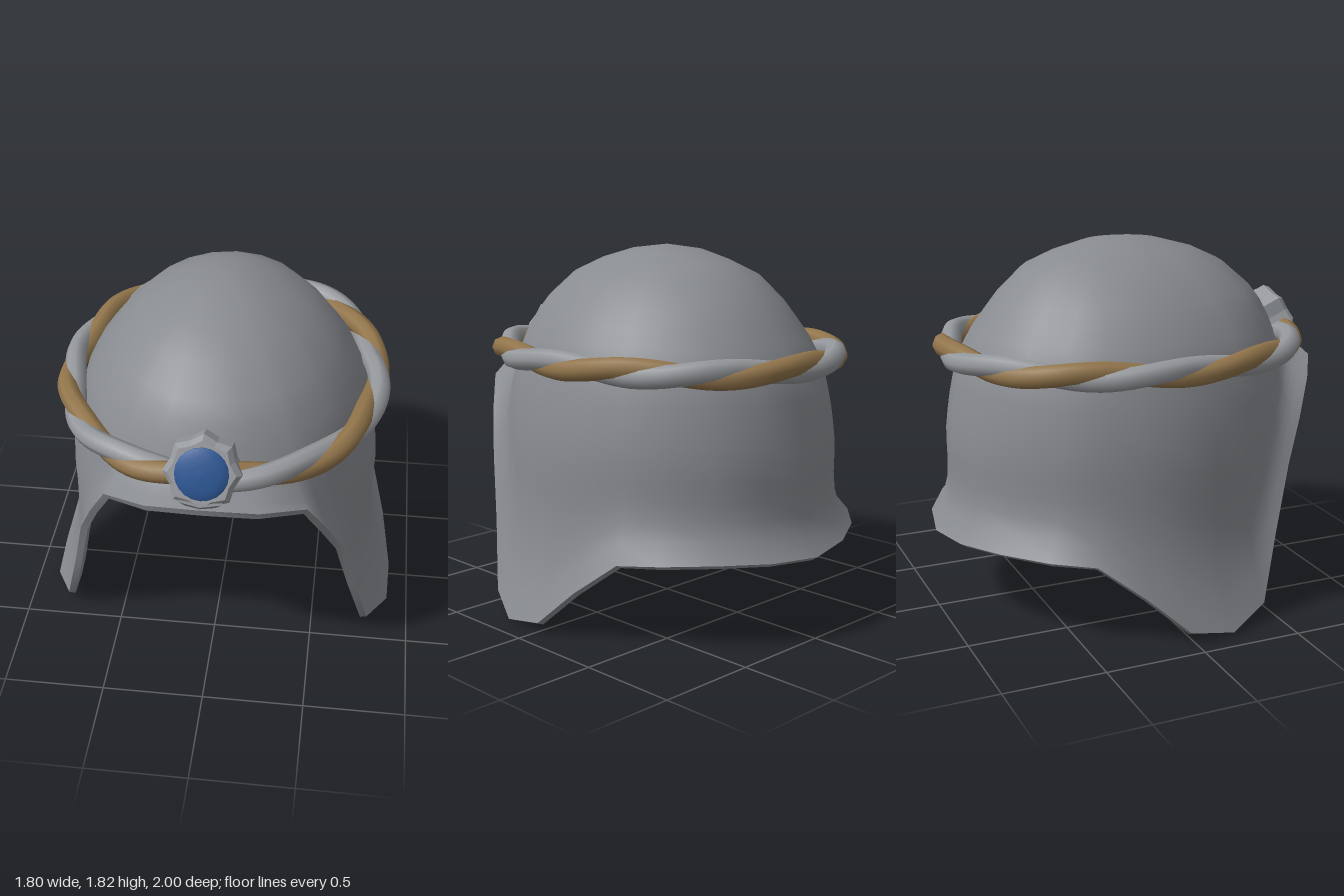
import * as THREE from 'three';

const mat = (name, color, extra = {}) => {
  const m = new THREE.MeshStandardMaterial({ color, ...extra });
  m.name = name;
  return m;
};

// Half-widths of the dome by height: [y, side x, front z, back z]
const PROFILE = [
  [1.815, 0, 0, 0], [1.79, 0.16, 0.2, 0.2], [1.74, 0.27, 0.38, 0.37], [1.67, 0.41, 0.53, 0.51],
  [1.55, 0.53, 0.67, 0.63], [1.47, 0.59, 0.73, 0.69], [1.35, 0.67, 0.79, 0.78], [1.2, 0.72, 0.84, 0.85],
  [1.0, 0.76, 0.86, 0.89], [0.83, 0.775, 0.86, 0.91], [0.5, 0.75, 0.86, 0.89], [0, 0.74, 0.86, 0.88],
];
// Lower edge from brow peak, around the cheek flap, to the neck guard
const EDGE = [
  [0, 1.2, 0.99], [0.26, 1.17, 0.95], [0.47, 1.11, 0.82], [0.56, 0.93, 0.73], [0.64, 0.73, 0.63],
  [0.71, 0.41, 0.53], [0.79, 0.08, 0.43], [0.895, 0.01, 0.21], [0.9, 0.05, -0.02], [0.85, 0.24, -0.23],
  [0.78, 0.41, -0.45], [0.69, 0.43, -0.65], [0.49, 0.43, -0.83], [0.26, 0.415, -0.95], [0, 0.4, -1],
];

function radii(y) {
  let i = 1;
  while (i < PROFILE.length - 1 && PROFILE[i][0] > y) i++;
  const a = PROFILE[i - 1], b = PROFILE[i];
  const t = (a[0] - y) / (a[0] - b[0]);
  return [1, 2, 3].map(k => a[k] + (b[k] - a[k]) * t);
}

function bodyPoint(s, c, y) {
  const [rx, rf, rb] = radii(y);
  return new THREE.Vector3(s * rx, y, c * (c > 0 ? rf : rb));
}

// Outer skin, offset inner skin and the rim joining them
function shellGeometry() {
  const edge = [...EDGE, ...EDGE.slice(1, -1).reverse().map(([x, y, z]) => [-x, y, z])];
  const upper = [1.79, 1.74, 1.67, 1.55, 1.47, 1.38, 1.3];
  const lower = 10, rows = upper.length + lower, n = edge.length;
  const pos = [0, 1.815, 0], idx = [];
  const columns = edge.map(([x, y, z]) => {
    const [rx, rf, rb] = radii(y);
    const a = Math.atan2(x / rx, z / (z > 0 ? rf : rb));
    const s = Math.sin(a), c = Math.cos(a);
    const col = upper.map(h => bodyPoint(s, c, h));
    const flare = new THREE.Vector3(x, y, z).sub(bodyPoint(s, c, y));
    const sharpness = 4 + 5 * Math.max(0, -z); // the neck guard turns out more abruptly
    for (let j = 1; j <= lower; j++) {
      const t = j / lower;
      col.push(bodyPoint(s, c, 1.3 + (y - 1.3) * t).addScaledVector(flare, t ** sharpness));
    }
    return col;
  });
  for (let j = 0; j < rows; j++) columns.forEach(col => pos.push(...col[j].toArray()));
  const at = (j, i) => 1 + j * n + (i % n);
  for (let i = 0; i < n; i++) {
    idx.push(0, at(0, i), at(0, i + 1));
    for (let j = 0; j < rows - 1; j++) {
      idx.push(at(j, i), at(j + 1, i), at(j + 1, i + 1), at(j, i), at(j + 1, i + 1), at(j, i + 1));
    }
  }
  const outer = new THREE.BufferGeometry();
  outer.setAttribute('position', new THREE.Float32BufferAttribute(pos, 3));
  outer.setIndex(idx);
  outer.computeVertexNormals();

  const nor = outer.attributes.normal.array;
  const innerPos = pos.map((v, k) => v - nor[k] * 0.035);
  const inner = new THREE.BufferGeometry();
  inner.setAttribute('position', new THREE.Float32BufferAttribute(innerPos, 3));
  inner.setIndex(idx.slice().reverse());
  inner.computeVertexNormals();

  const rimPos = [], rimIdx = [];
  for (let i = 0; i < n; i++) {
    const k = at(rows - 1, i) * 3, p = i * 2, q = ((i + 1) % n) * 2;
    rimPos.push(...pos.slice(k, k + 3), ...innerPos.slice(k, k + 3));
    rimIdx.push(p, p + 1, q + 1, p, q + 1, q);
  }
  const rim = new THREE.BufferGeometry();
  rim.setAttribute('position', new THREE.Float32BufferAttribute(rimPos, 3));
  rim.setIndex(rimIdx);
  rim.computeVertexNormals();
  return { outer, inner, rim };
}

// One thick strand of the twisted circlet, winding around a closed oval path
function strandGeometry(phase) {
  const half = [[-0.24, -0.84], [-0.42, -0.75], [-0.56, -0.61], [-0.67, -0.41], [-0.735, -0.17], [-0.755, 0],
    [-0.735, 0.2], [-0.66, 0.44], [-0.52, 0.65], [-0.33, 0.79], [-0.16, 0.84]];
  const oval = [[0, -0.885], ...half, [0, 0.85], ...half.slice().reverse().map(([x, z]) => [-x, z])];
  const path = new THREE.CatmullRomCurve3(oval.map(([x, z]) => new THREE.Vector3(x, 1.29, z)), true);
  const up = new THREE.Vector3(0, 1, 0), pts = [];
  const steps = 72, turns = 6, offset = 0.019;
  for (let i = 0; i < steps; i++) {
    const u = i / steps, w = u * turns * Math.PI * 2 + phase;
    const inward = up.clone().cross(path.getTangentAt(u)).normalize();
    pts.push(path.getPointAt(u).addScaledVector(up, Math.cos(w) * offset).addScaledVector(inward, Math.sin(w) * offset));
  }
  return new THREE.TubeGeometry(new THREE.CatmullRomCurve3(pts, true), 120, 0.053, 8, true);
}

export function createModel() {
  const steel = mat('steel', 0x888b90, { side: THREE.DoubleSide });
  const silver = mat('silver', 0x95989c);
  const gold = mat('gold', 0x92754b);
  const blue = mat('blue gem', 0x2b5592);
  const model = new THREE.Group();
  model.name = 'helmet';
  const add = (parent, name, geometry, material) => {
    const m = new THREE.Mesh(geometry, material);
    m.name = name;
    parent.add(m);
    return m;
  };

  // Helmet shell
  const shell = new THREE.Group();
  shell.name = 'shell';
  model.add(shell);
  const { outer, inner, rim } = shellGeometry();
  add(shell, 'outerShell', outer, steel);
  add(shell, 'innerLining', inner, steel);
  add(shell, 'shellRim', rim, steel);

  // Twisted circlet
  const circlet = new THREE.Group();
  circlet.name = 'circlet';
  model.add(circlet);
  add(circlet, 'goldStrand', strandGeometry(0), gold);
  add(circlet, 'silverStrand', strandGeometry(Math.PI), silver);

  // Brow jewel, tilted up
  const jewel = new THREE.Group();
  jewel.name = 'browJewel';
  jewel.position.set(0, 1.345, 0.915);
  jewel.rotation.x = -0.42;
  model.add(jewel);
  const star = new THREE.Shape();
  for (let i = 0; i < 16; i++) {
    const a = i * Math.PI / 8 + Math.PI / 2, r = i % 2 ? 0.134 : 0.154;
    star[i ? 'lineTo' : 'moveTo'](Math.cos(a) * r, Math.sin(a) * r);
  }
  star.closePath();
  const setting = new THREE.ExtrudeGeometry(star, {
    depth: 0.11, bevelEnabled: true, bevelThickness: 0.025, bevelSize: 0.022, bevelSegments: 1,
  });
  setting.translate(0, 0, -0.135);
  add(jewel, 'jewelSetting', setting, silver);

  // Shallow domed stone
  const dome = [[0.124, -0.005], [0.12, 0.008], [0.085, 0.018], [0.045, 0.023], [0, 0.025]];
  const stone = new THREE.LatheGeometry(dome.map(([r, y]) => new THREE.Vector2(r, y)), 20);
  stone.rotateX(Math.PI / 2);
  add(jewel, 'gemstone', stone, blue);

  // Small point under the jewel
  const point = add(model, 'browPoint', new THREE.ConeGeometry(0.11, 0.08, 6), steel);
  point.rotation.x = Math.PI;
  point.scale.z = 0.5;
  point.position.set(0, 1.18, 0.94);
  return model;
}
